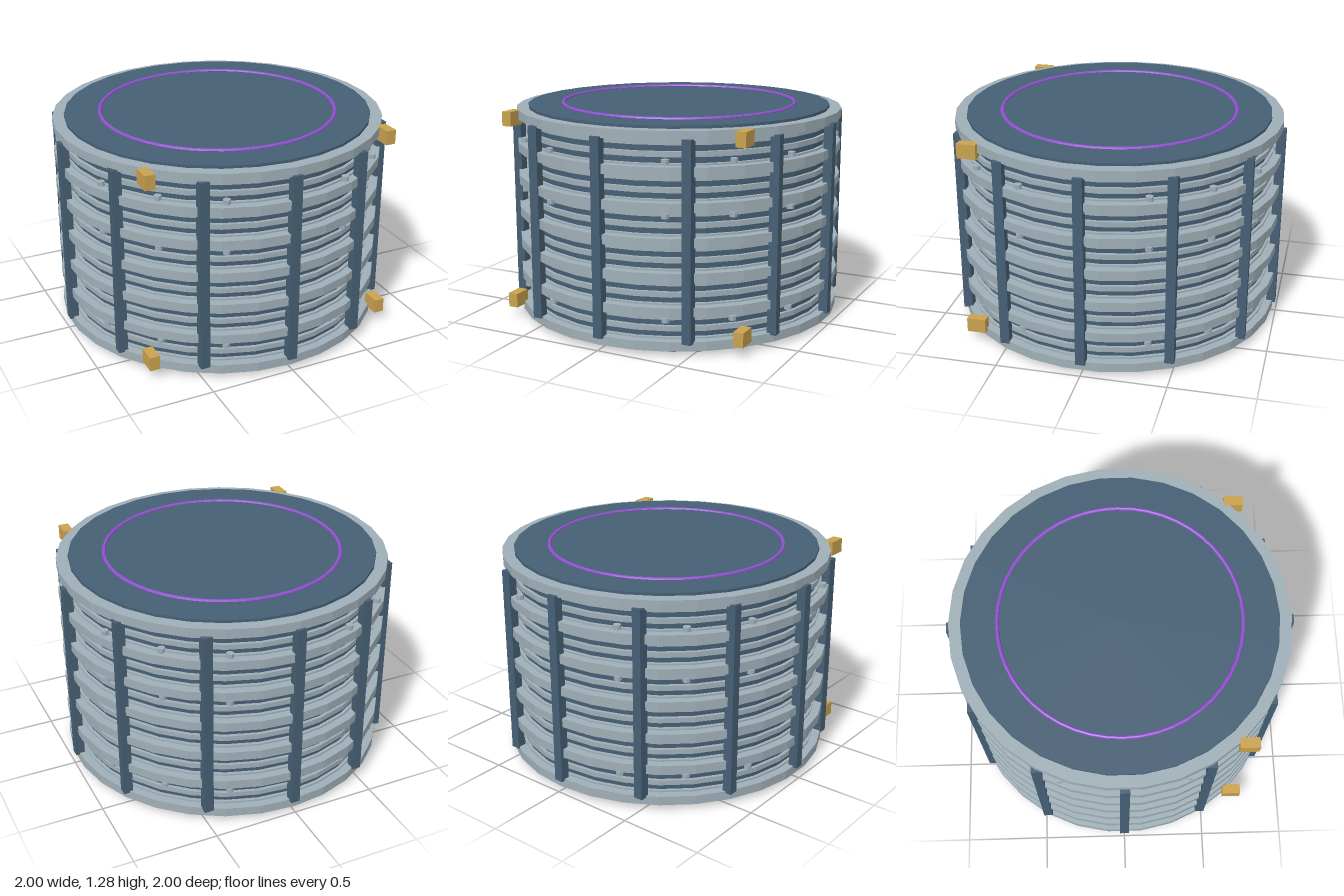
import * as THREE from 'three';

export function createModel() {
  const model = new THREE.Group();
  model.name = 'ribbedDrum';

  const material = (name, color) => {
    const m = new THREE.MeshStandardMaterial({ color, flatShading: true });
    m.name = name;
    return m;
  };
  const slate = material('slate blue', 0x465f74);
  const steel = material('pale steel', 0x9fafb7);
  const gold = material('gold', 0xc9a24e);
  const violet = material('violet', 0x9150cf);

  const add = (name, geometry, mat, x, y, z) => {
    const mesh = new THREE.Mesh(geometry, mat);
    mesh.name = name;
    mesh.position.set(x, y, z);
    model.add(mesh);
    return mesh;
  };

  const SIDES = 30;

  // Closed band with a rectangular section, hugging the core
  const band = (outer, height) => {
    const inner = 0.88, h = height / 2;
    const section = [[inner, -h], [outer, -h], [outer, h], [inner, h], [inner, -h]];
    return new THREE.LatheGeometry(section.map(([r, y]) => new THREE.Vector2(r, y)), SIDES);
  };

  // Core drum
  add('core', new THREE.CylinderGeometry(0.91, 0.91, 1.268, SIDES), slate, 0, 0.634, 0);

  // Wide flanges
  const flange = band(0.98, 0.054);
  for (let i = 0; i < 7; i++) add('flange', flange, steel, 0, 0.055 + i * 0.195, 0);

  // Narrow ribs between the flanges
  const rib = band(0.93, 0.03);
  for (let i = 0; i < 18; i++) add('rib', rib, steel, 0, 0.077 + i * 0.065, 0);

  // Upright posts, all square to the axes
  const post = new THREE.BoxGeometry(0.055, 1.136, 0.055);
  for (let i = 0; i < 12; i++) {
    const a = (i / 12) * Math.PI * 2;
    add('post', post, slate, Math.sin(a) * 0.97, 0.639, Math.cos(a) * 0.97);
  }

  // Rows of small bolts
  const bolt = new THREE.CylinderGeometry(0.022, 0.022, 0.026, 8);
  for (const y of [0.2, 0.787, 1.082]) {
    for (let i = 0; i < 16; i++) {
      const a = (i / 16) * Math.PI * 2;
      add('bolt', bolt, steel, Math.sin(a) * 0.95, y, Math.cos(a) * 0.95);
    }
  }

  // Corner blocks on the front
  const block = new THREE.BoxGeometry(0.06, 0.085, 0.112);
  for (const x of [-0.743, 0.743]) {
    for (const y of [0.105, 1.21]) add('cornerBlock', block, gold, x, y, 0.693);
  }

  // Ring on the lid
  const ring = add('lidRing', new THREE.TorusGeometry(0.7, 0.011, 8, 48), violet, 0, 1.27, 0);
  ring.rotation.x = -Math.PI / 2;

  return model;
}
